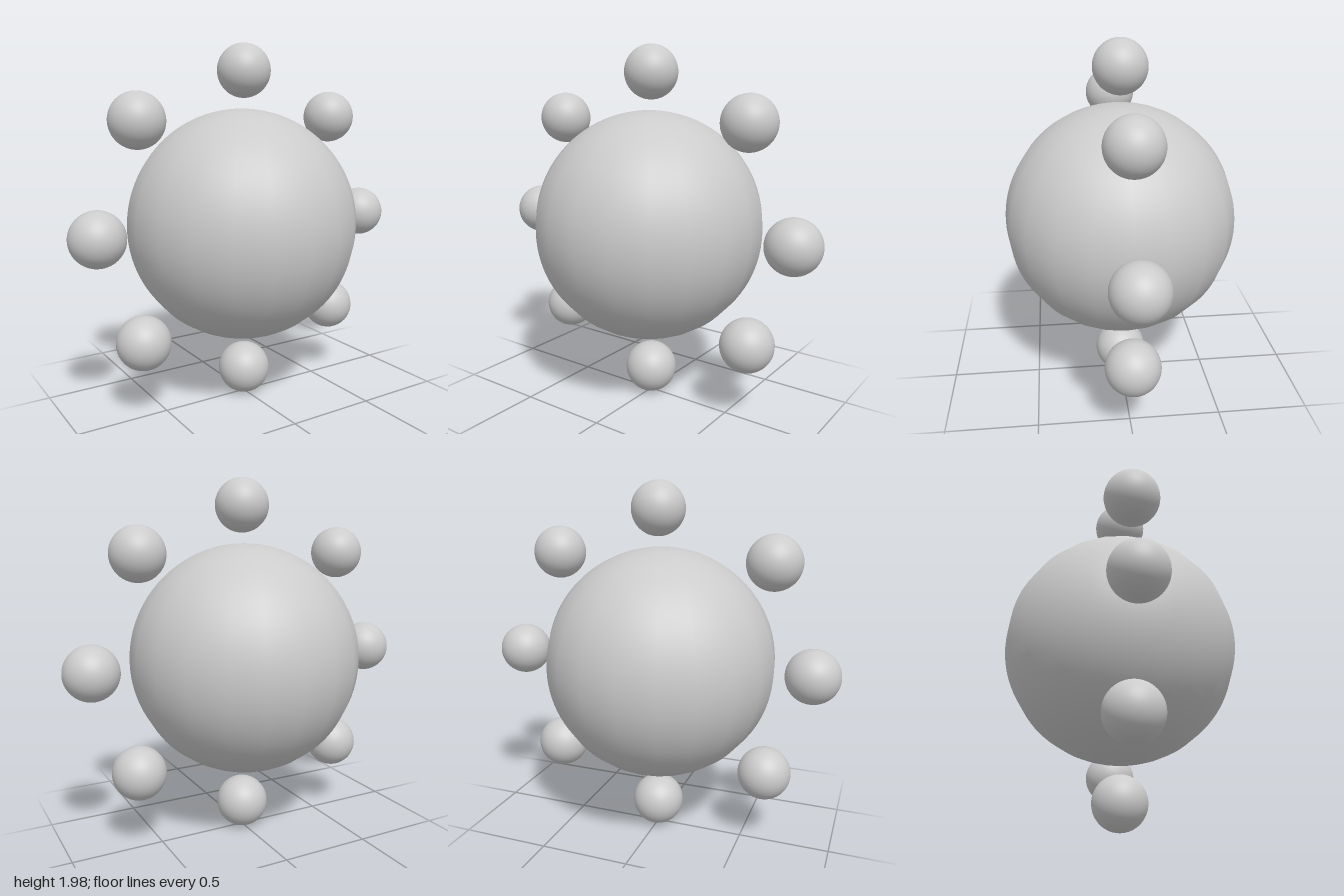
import * as THREE from 'three';

export function createModel() {
  const group = new THREE.Group();
  const material = new THREE.MeshStandardMaterial({ color: 0xcccccc });

  const addBall = (name, geometry, x, y) => {
    const ball = new THREE.Mesh(geometry, material);
    ball.name = name;
    ball.position.set(x, y, 0);
    group.add(ball);
  };

  // Large central ball: 20 sides around, finely divided from pole to pole
  addBall('centralBall', new THREE.SphereGeometry(0.636, 20, 48), -0.014, 1);

  // Uneven ring of small balls in the x-y plane, clockwise from the top
  const small = new THREE.SphereGeometry(0.1455, 40, 32);
  const ring = [
    [0, 1.838], [0.594, 1.588], [0.8545, 1], [0.62, 0.432],
    [0, 0.152], [-0.624, 0.42], [-0.8545, 1], [-0.628, 1.578],
  ];
  ring.forEach(([x, y], i) => addBall(`orbitBall${i + 1}`, small, x, y));

  return group;
}
